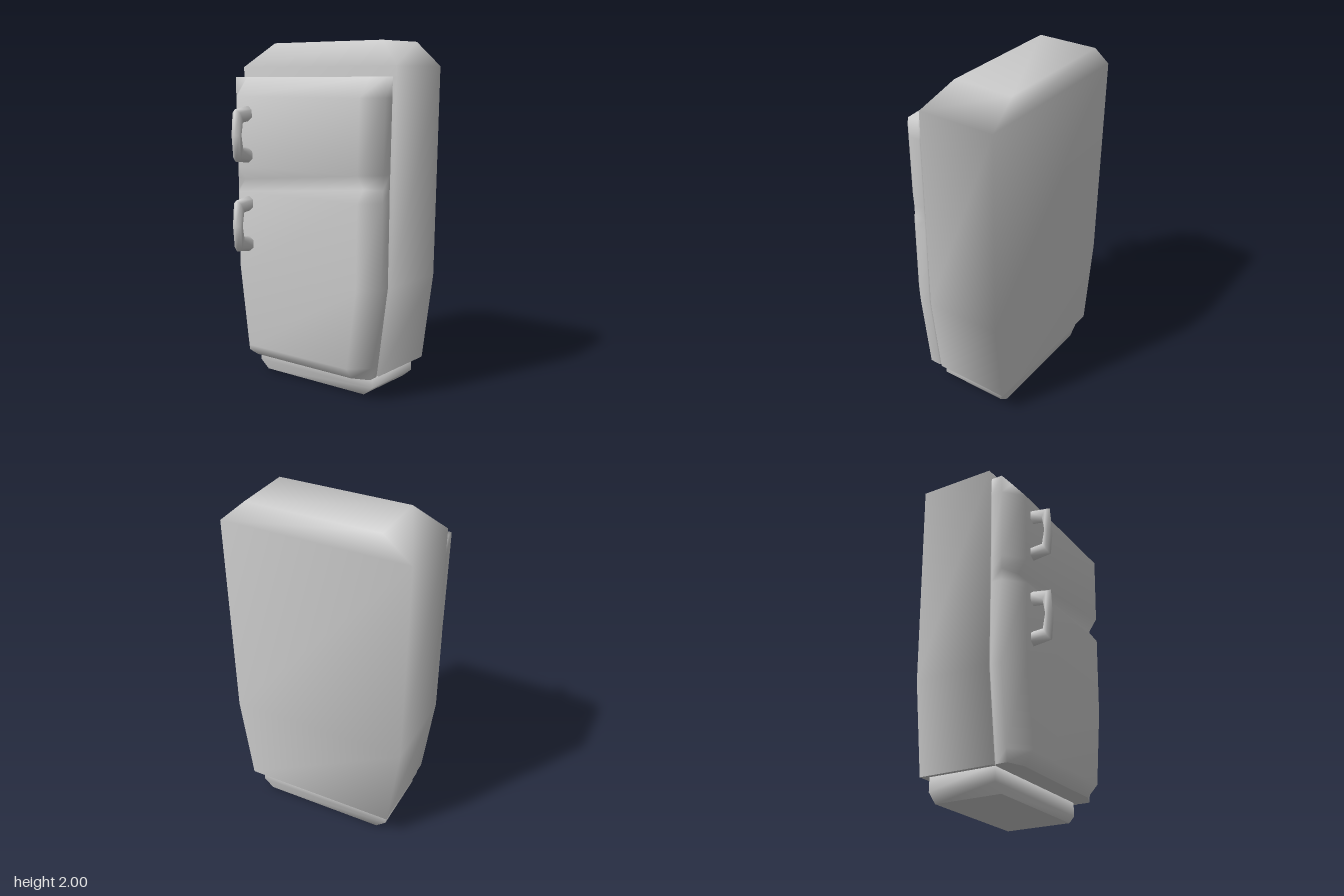
import * as THREE from 'three';

const material = new THREE.MeshStandardMaterial({ color: 0xcccccc });

// Smooth skin through rings of [x, y, z] points (counterclockwise about the
// direction of travel), with a sharp cap at the start and a smooth one at the end.
function loft(name, rings) {
  const n = rings[0].length;
  const last = (rings.length - 1) * n;
  const cap = rings.length * n;
  const positions = [...rings, rings[0]].flat(2);
  const index = [];
  for (let r = 0; r < rings.length - 1; r++) {
    for (let i = 0; i < n; i++) {
      const a = r * n + i;
      const b = r * n + ((i + 1) % n);
      index.push(a, b, b + n, a, b + n, a + n);
    }
  }
  for (let i = 1; i < n - 1; i++) {
    index.push(last, last + i, last + i + 1);
    index.push(cap, cap + i + 1, cap + i);
  }
  const geometry = new THREE.BufferGeometry();
  geometry.setAttribute('position', new THREE.Float32BufferAttribute(positions, 3));
  geometry.setIndex(index);
  geometry.computeVertexNormals();
  const mesh = new THREE.Mesh(geometry, material);
  mesh.name = name;
  return mesh;
}

// Rectangular horizontal section: height, half width, front z, back z
const section = (y, w, front, back) => [
  [-w, y, front], [w, y, front], [w, y, back], [-w, y, back],
];

// Door section with bevelled sides: height, half width, front z
const doorSection = (y, w, front) => [
  [-w + 0.1, y, front], [w - 0.1, y, front],
  [w, y, 0.16], [w, y, 0.095], [w - 0.02, y, 0.075],
  [-w + 0.02, y, 0.075], [-w, y, 0.095], [-w, y, 0.16],
];

// Pull handle: outer and inner [y, z] outline, swept with a ridged section
function makeHandle(name, y) {
  const outer = [[-0.165, 0.24], [-0.15, 0.365], [0, 0.375], [0.15, 0.365], [0.17, 0.24]];
  const inner = [[-0.075, 0.24], [-0.07, 0.318], [0, 0.335], [0.07, 0.318], [0.08, 0.24]];
  const ring = [[0, 0], [0.03, 0.25], [0.03, 0.75], [0, 1], [-0.03, 0.75], [-0.03, 0.25]];
  const rings = outer.map(([oy, oz], i) => ring.map(([x, t]) => [
    x,
    THREE.MathUtils.lerp(oy, inner[i][0], t),
    THREE.MathUtils.lerp(oz, inner[i][1], t),
  ]));
  const handle = loft(name, rings);
  handle.position.set(-0.355, y, 0);
  return handle;
}

export function createModel() {
  const model = new THREE.Group();
  model.name = 'refrigerator';

  // Cabinet: tapered towards the floor, bevelled at the top and front
  model.add(loft('cabinet', [
    section(0.13, 0.46, 0.078, -0.375),
    section(0.65, 0.53, 0.078, -0.375),
    section(1.86, 0.55, 0.078, -0.375),
    section(2, 0.39, -0.025, -0.375),
  ]));

  // Doors: one shell with a groove between freezer and fridge
  model.add(loft('doors', [
    doorSection(0.13, 0.455, 0.2),
    doorSection(0.2, 0.465, 0.257),
    doorSection(0.65, 0.525, 0.257),
    doorSection(1.13, 0.53, 0.257),
    doorSection(1.2, 0.53, 0.205),
    doorSection(1.28, 0.532, 0.257),
    doorSection(1.69, 0.54, 0.257),
    doorSection(1.8, 0.542, 0.168),
  ]));

  // Plinth with bevelled lower sides
  const plinth = loft('plinth', [
    section(0, 0.365, 0.078, -0.33),
    section(0.05, 0.425, 0.078, -0.33),
    section(0.14, 0.425, 0.077, -0.33),
  ]);
  plinth.position.x = -0.01;
  model.add(plinth);

  // Handles
  model.add(makeHandle('freezerHandle', 1.468), makeHandle('fridgeHandle', 0.943));
  return model;
}
